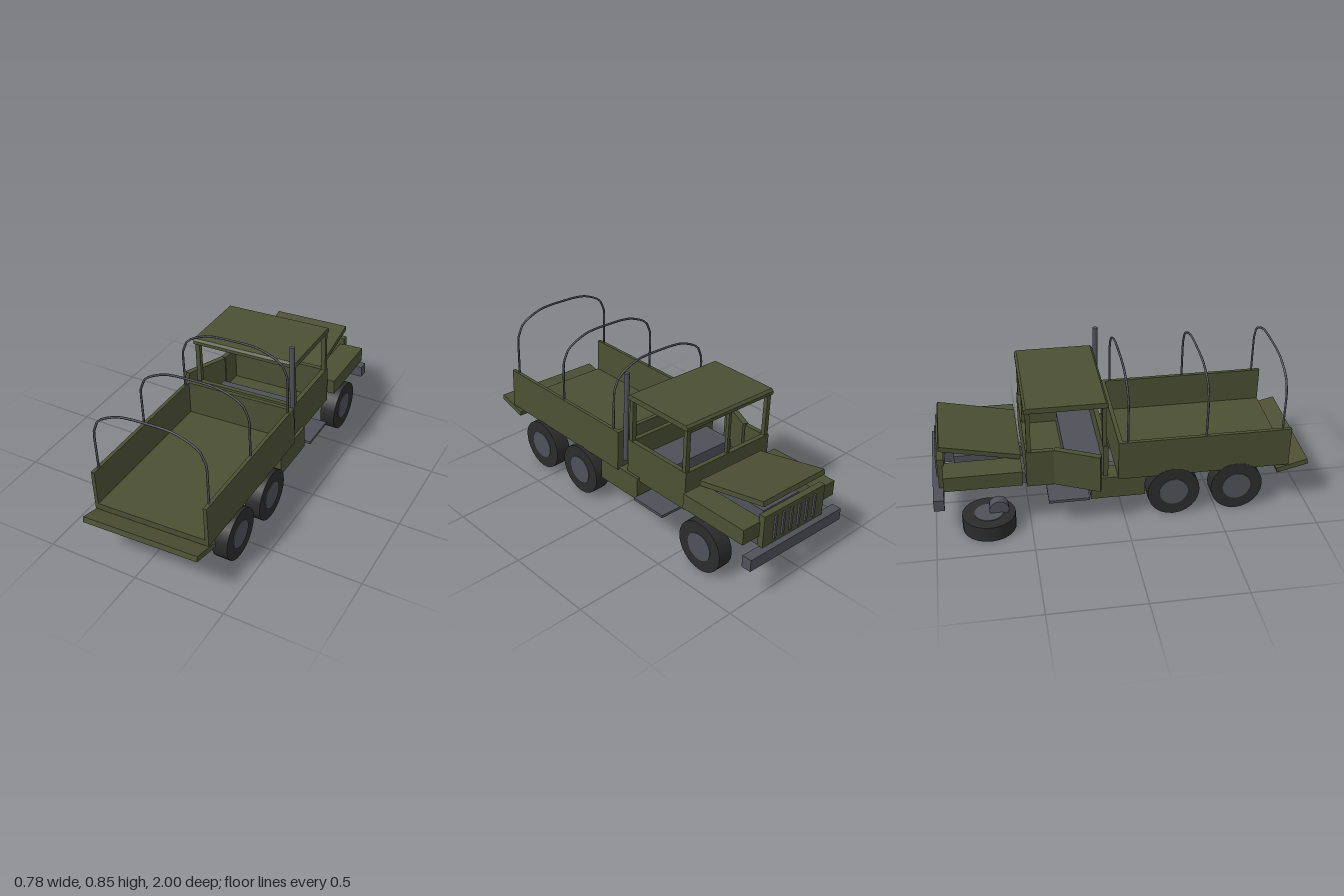
import * as THREE from 'three';

export function createModel() {
  const material = (name, color) => {
    const m = new THREE.MeshStandardMaterial({ color });
    m.name = name;
    return m;
  };
  const olive = material('olive paint', 0x4b4f33);
  const steel = material('grey steel', 0x4f4f59);
  const rubber = material('black rubber', 0x2b2b2b);

  const truck = new THREE.Group();
  truck.name = 'wreckedTruck';

  // Everything but the wheels leans to one side
  const body = new THREE.Group();
  body.name = 'leaningBody';
  body.position.x = 0.048;
  body.rotation.z = 0.0436;
  truck.add(body);

  const add = (name, geometry, mat, parent = body) => {
    const mesh = new THREE.Mesh(geometry, mat);
    mesh.name = name;
    parent.add(mesh);
    return mesh;
  };
  // Box given by its extents on each axis
  const block = (name, mat, [x0, x1], [y0, y1], [z0, z1], parent = body) => {
    const mesh = add(name, new THREE.BoxGeometry(x1 - x0, y1 - y0, z1 - z0), mat, parent);
    mesh.position.set((x0 + x1) / 2, (y0 + y1) / 2, (z0 + z1) / 2);
    return mesh;
  };
  // The same box on both sides
  const pair = (name, mat, [x0, x1], y, z) => {
    block(name + 'Left', mat, [x0, x1], y, z);
    block(name + 'Right', mat, [-x1, -x0], y, z);
  };

  // Chassis
  pair('frameRail', steel, [0.106, 0.148], [0.165, 0.228], [-0.95, 0.89]);
  block('bumper', steel, [-0.333, 0.333], [0.166, 0.231], [-1, -0.945]);
  pair('sideStep', steel, [0.2, 0.346], [0.16, 0.175], [-0.405, -0.19]);
  pair('toolBox', olive, [0.206, 0.316], [0.143, 0.272], [-0.18, 0.11]);

  // Cargo bed, open at the rear
  block('bedFloor', olive, [-0.325, 0.325], [0.262, 0.297], [-0.035, 0.888]);
  pair('bedSide', olive, [0.305, 0.325], [0.297, 0.487], [-0.035, 0.888]);
  block('bedFrontWall', olive, [-0.305, 0.305], [0.297, 0.487], [-0.035, -0.012]);
  const tailgate = add('tailgate', new THREE.BoxGeometry(0.65, 0.03, 0.175), olive);
  tailgate.position.set(0, 0.249, 0.912);
  tailgate.rotation.x = -0.25;

  // Canopy hoops
  const half = [[0.311, 0.47], [0.312, 0.6], [0.311, 0.7], [0.278, 0.775],
    [0.218, 0.81], [0.15, 0.834], [0.07, 0.841]];
  const outline = [...half, ...half.map(([x, y]) => [-x, y]).reverse()];
  for (const z of [0.015, 0.43, 0.84]) {
    const path = new THREE.CatmullRomCurve3(
      outline.map(([x, y]) => new THREE.Vector3(x, y, z)), false, 'catmullrom', 0.2);
    add('canopyHoop', new THREE.TubeGeometry(path, 36, 0.006, 6), steel);
  }

  // Exhaust stack behind the cab
  add('exhaustStack', new THREE.CylinderGeometry(0.014, 0.014, 0.505, 12), steel)
    .position.set(0.299, 0.583, -0.068);

  // Cab tub, with a door opening on one side
  block('cabFloor', olive, [-0.3, 0.3], [0.25, 0.27], [-0.514, -0.086]);
  block('cabFront', olive, [-0.3, 0.3], [0.27, 0.461], [-0.514, -0.488]);
  block('cabBack', olive, [-0.3, 0.3], [0.27, 0.461], [-0.112, -0.086]);
  block('cabSide', olive, [0.274, 0.3], [0.27, 0.461], [-0.488, -0.112]);
  block('cabSideFront', olive, [-0.3, -0.274], [0.27, 0.461], [-0.488, -0.37]);
  block('seat', steel, [-0.25, 0.25], [0.27, 0.35], [-0.3, -0.112]);

  // Window posts and roof
  pair('frontPost', olive, [0.272, 0.298], [0.461, 0.702], [-0.508, -0.485]);
  pair('rearPost', olive, [0.272, 0.298], [0.461, 0.702], [-0.116, -0.092]);
  block('windshieldDivider', olive, [-0.009, 0.009], [0.461, 0.702], [-0.508, -0.49]);
  const roofProfile = new THREE.Shape([
    [-0.215, 0], [0.215, 0], [0.215, 0.018], [0.203, 0.03], [-0.203, 0.03], [-0.215, 0.018],
  ].map(([z, y]) => new THREE.Vector2(z, y)));
  const roof = add('roof',
    new THREE.ExtrudeGeometry(roofProfile, { depth: 0.61, bevelEnabled: false }), olive);
  roof.rotation.y = Math.PI / 2;
  roof.position.set(-0.305, 0.696, -0.3);

  // Door swung open on its front hinge
  const hinge = new THREE.Group();
  hinge.name = 'openDoor';
  hinge.position.set(-0.3, 0, -0.37);
  hinge.rotation.y = -0.43;
  body.add(hinge);
  block('doorPanel', olive, [0, 0.032], [0.25, 0.463], [0, 0.25], hinge);

  // Nose: engine, fenders, grille and raised hood
  block('engine', steel, [-0.13, 0.13], [0.228, 0.36], [-0.88, -0.59]);
  pair('fender', olive, [0.195, 0.333], [0.285, 0.369], [-0.94, -0.535]);
  block('grille', olive, [-0.22, 0.22], [0.231, 0.408], [-0.967, -0.932]);
  for (let i = 0; i < 6; i++) {
    const x = (i - 2.5) * 0.057;
    block('grilleBar', steel, [x - 0.007, x + 0.007], [0.255, 0.385], [-0.977, -0.967]);
  }
  const hood = add('hood', new THREE.BoxGeometry(0.444, 0.028, 0.425), olive);
  hood.position.set(0, 0.43, -0.745);
  hood.rotation.x = 0.21;

  // Bare brake drum where a wheel came off
  const drum = add('brakeDrum', new THREE.CylinderGeometry(0.052, 0.052, 0.055, 16), steel);
  drum.rotation.z = Math.PI / 2;
  drum.position.set(-0.278, 0.118, -0.665);

  // Wheels, outer face along local +y
  const wheel = (name, x, y, z, tilt) => {
    const group = new THREE.Group();
    group.name = name;
    group.position.set(x, y, z);
    group.rotation.z = tilt;
    add('tire', new THREE.CylinderGeometry(0.141, 0.141, 0.085, 24), rubber, group);
    add('hub', new THREE.CylinderGeometry(0.077, 0.077, 0.084, 24), steel, group).position.y = 0.004;
    truck.add(group);
  };
  for (const z of [0.607, 0.263, -0.667]) {
    wheel('wheelLeft', 0.338, 0.141, z, -Math.PI / 2);
    if (z > 0) wheel('wheelRight', -0.248, 0.141, z, Math.PI / 2);
  }
  wheel('looseWheel', -0.25, 0.0425, -0.72, 0);

  return truck;
}
